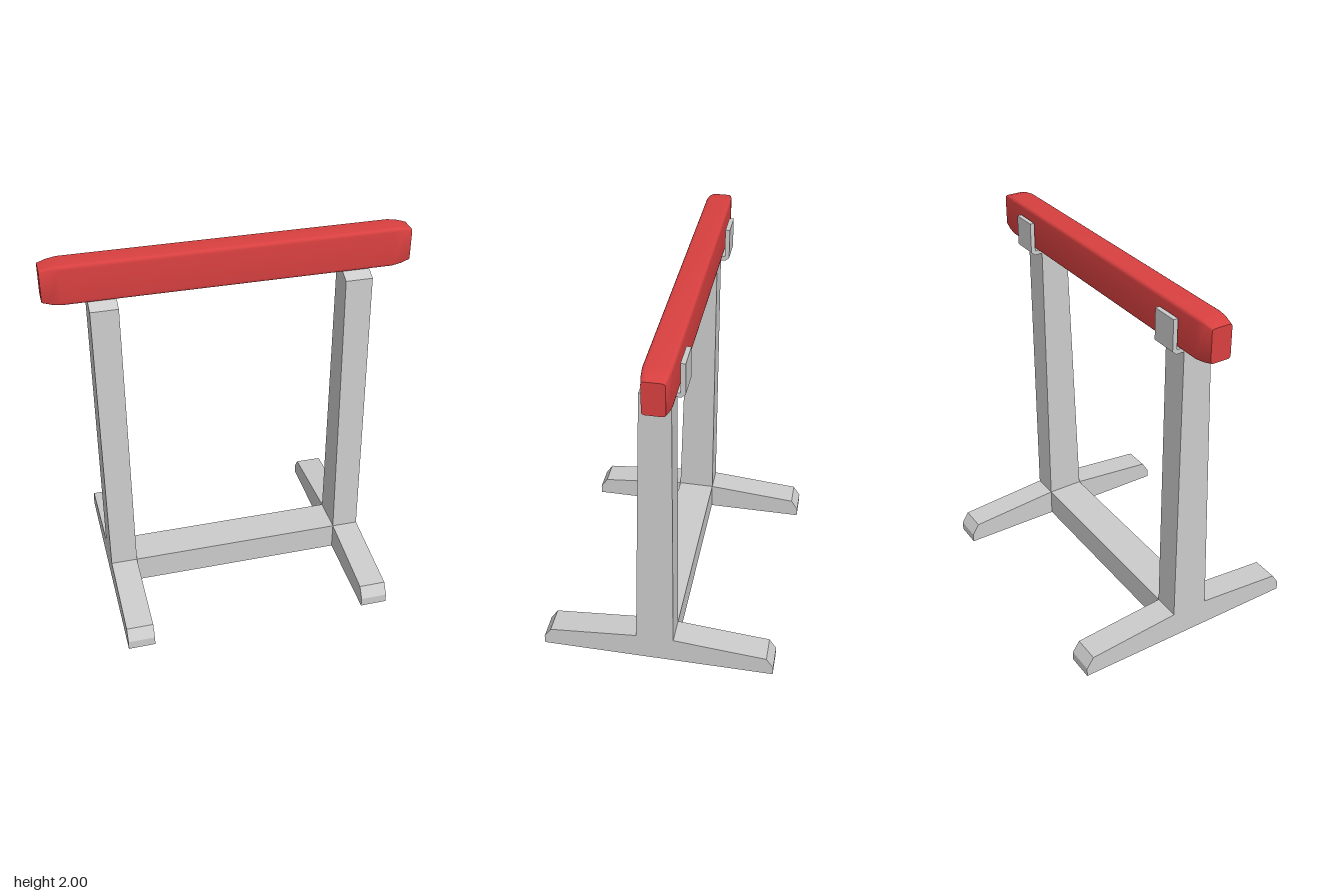
import * as THREE from 'three';
import { toCreasedNormals } from 'three/addons/utils/BufferGeometryUtils.js';

const grey = new THREE.MeshStandardMaterial({ color: 0xcccccc });
const red = new THREE.MeshStandardMaterial({ color: 0xd94040 });

// Extrudes a side profile of [z, y] points along x, centred on x = 0.
function extrudeSide(shape, width, steps = 1) {
  const g = new THREE.ExtrudeGeometry(shape, { depth: width, steps, bevelEnabled: false, curveSegments: 4 });
  g.translate(0, 0, -width / 2);
  return g.rotateY(-Math.PI / 2);
}

const polygon = (points) => new THREE.Shape(points.map(([z, y]) => new THREE.Vector2(z, y)));

function addMesh(parent, name, geometry, material) {
  const mesh = new THREE.Mesh(geometry, material);
  mesh.name = name;
  parent.add(mesh);
  return mesh;
}

// Padded beam: rounded-rectangle section that tapers gently at both ends.
function beamGeometry() {
  const w = 0.068, h = 0.107, r = 0.02;
  const s = new THREE.Shape();
  s.moveTo(-w + r, -h);
  s.lineTo(w - r, -h);
  s.quadraticCurveTo(w, -h, w, -h + r);
  s.lineTo(w, h - r);
  s.quadraticCurveTo(w, h, w - r, h);
  s.lineTo(-w + r, h);
  s.quadraticCurveTo(-w, h, -w, h - r);
  s.lineTo(-w, -h + r);
  s.quadraticCurveTo(-w, -h, -w + r, -h);

  // Each station along x: [x, height inset, depth inset]
  const ends = [[0.957, 0.02, 0.013], [0.91, 0.007, 0.005], [0.86, 0, 0]];
  const stations = [...ends.map(([x, a, b]) => [-x, a, b]), ...ends.slice().reverse()];
  const steps = stations.length - 1;
  const g = extrudeSide(s, steps, steps);
  const p = g.attributes.position;
  for (let i = 0; i < p.count; i++) {
    const [x, insetY, insetZ] = stations[Math.round(p.getX(i) + steps / 2)];
    p.setXYZ(i, x, p.getY(i) * (1 - insetY / h), p.getZ(i) * (1 - insetZ / w));
  }
  return toCreasedNormals(g, 0.6);
}

export function createModel() {
  const model = new THREE.Group();
  model.name = 'beamStand';

  const standWidth = 0.145, standX = 0.6625;

  // Foot, tapered post and rear support bracket in one side profile
  const standShape = polygon([
    [0.637, 0], [0.637, 0.05], [0.598, 0.11],
    [0.115, 0.155], [0.065, 1.76], [0.008, 1.786],
    [-0.131, 1.786], [-0.131, 1.945], [-0.155, 1.945],
    [-0.155, 1.78], [-0.135, 1.762], [-0.09, 1.762],
    [-0.09, 0.155], [-0.598, 0.11], [-0.637, 0.05], [-0.637, 0],
  ]);
  const standGeometry = extrudeSide(standShape, standWidth);
  for (const [name, side] of [['leftStand', 1], ['rightStand', -1]]) {
    addMesh(model, name, standGeometry, grey).position.x = side * standX;
  }

  // Floor crossbar joining the two stands
  const span = 2 * standX - standWidth;
  addMesh(model, 'crossbar', new THREE.BoxGeometry(span, 0.155, 0.205), grey)
    .position.set(0, 0.0775, 0.0125);

  // Padded beam resting on the posts
  addMesh(model, 'beam', beamGeometry(), red).position.set(0, 1.893, -0.053);

  return model;
}
